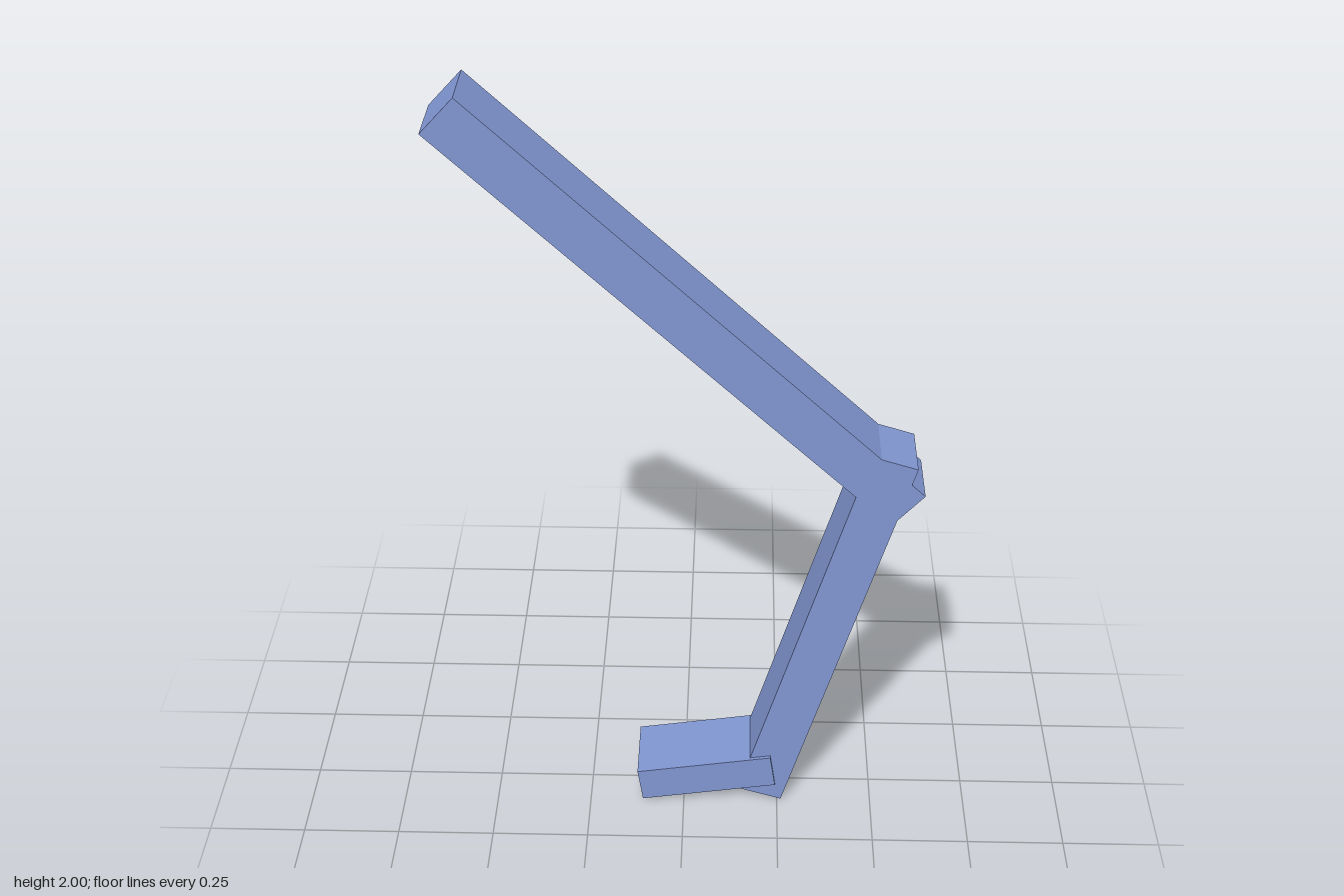
import * as THREE from 'three';

export function createModel() {
  const group = new THREE.Group();
  const blue = new THREE.MeshStandardMaterial({ color: 0x8095d0 });
  blue.name = 'periwinkleBlue';

  // A square-ended bar running between two points in the XY plane
  function bar(name, [x1, y1], [x2, y2], thickness, depth) {
    const length = Math.hypot(x2 - x1, y2 - y1);
    const mesh = new THREE.Mesh(new THREE.BoxGeometry(length, thickness, depth), blue);
    mesh.name = name;
    mesh.position.set((x1 + x2) / 2, (y1 + y2) / 2, 0);
    mesh.rotation.z = Math.atan2(y2 - y1, x2 - x1);
    group.add(mesh);
  }

  // Thigh, shin and the slightly wider foot
  bar('upperLeg', [-0.559, 1.956], [0.556, 0.924], 0.12, 0.176);
  bar('lowerLeg', [0.203, 0.021], [0.518, 1.062], 0.12, 0.176);
  bar('foot', [-0.117, 0.05], [0.237, 0.104], 0.092, 0.195);

  return group;
}
